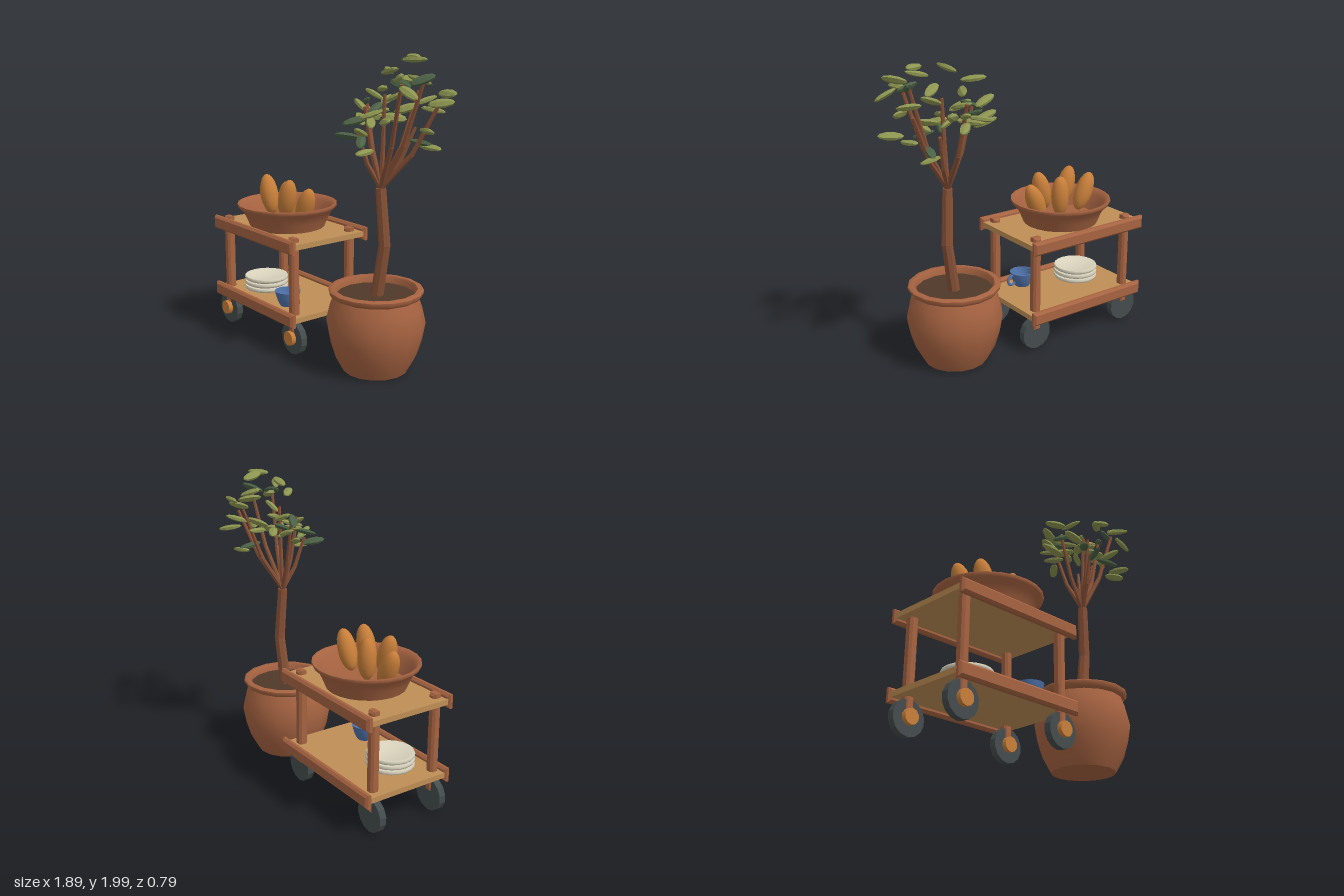
import * as THREE from 'three';
import { toCreasedNormals } from 'three/addons/utils/BufferGeometryUtils.js';

const material = (name, color, opts = {}) => {
  const m = new THREE.MeshStandardMaterial({ color, ...opts });
  m.name = name;
  return m;
};

export function createModel() {
  const terracotta = material('terracotta and frame wood', 0xa66341);
  const bark = material('bark', 0x875137, { flatShading: true });
  const board = material('shelf board', 0xbf8e55);
  const orange = material('golden orange', 0xc87f3a);
  const rubber = material('wheel grey', 0x454c4d, { flatShading: true });
  const cream = material('plate cream', 0xdad4be);
  const blue = material('cup blue', 0x5073ab);
  const soilBrown = material('soil', 0x4f3829);
  const leafLight = material('leaf olive', 0x8d9550, { flatShading: true });
  const leafDark = material('leaf dark green', 0x4c6145, { flatShading: true });

  const model = new THREE.Group();
  const add = (parent, name, geo, mat, x = 0, y = 0, z = 0) => {
    const mesh = new THREE.Mesh(geo, mat);
    mesh.name = name;
    mesh.position.set(x, y, z);
    parent.add(mesh);
    return mesh;
  };
  const group = (name, parent = model) => {
    const g = new THREE.Group();
    g.name = name;
    parent.add(g);
    return g;
  };

  // Centred box with chamfered edges
  const chamferBox = (w, h, d, c) => {
    const a = w / 2 - c, b = h / 2 - c;
    const shape = new THREE.Shape([[-a, -b], [a, -b], [a, b], [-a, b]].map(p => new THREE.Vector2(...p)));
    const geo = new THREE.ExtrudeGeometry(shape, {
      depth: d - 2 * c, bevelEnabled: true, bevelSize: c, bevelThickness: c, bevelSegments: 1,
    });
    return geo.translate(0, 0, -(d / 2 - c));
  };
  const lathe = (pts, sides) => toCreasedNormals(
    new THREE.LatheGeometry(pts.map(p => new THREE.Vector2(...p)), sides), 0.95);
  // Tapered round limb between two points
  const limb = (parent, name, a, b, r0, r1, sides) => {
    const dir = b.clone().sub(a);
    const mid = a.clone().add(b).multiplyScalar(0.5);
    const mesh = add(parent, name, new THREE.CylinderGeometry(r1, r0, dir.length(), sides), bark, mid.x, mid.y, mid.z);
    mesh.quaternion.setFromUnitVectors(new THREE.Vector3(0, 1, 0), dir.normalize());
  };

  // Cart: two shelves, side rails, posts and wheels
  const cart = group('cart');
  for (const [level, y] of [['upper', 0.751], ['lower', 0.255]]) {
    add(cart, level + 'Shelf', new THREE.BoxGeometry(0.93, 0.036, 0.57), board, -0.446, y, 0.043);
    for (const [side, z] of [['Front', 0.348], ['Back', -0.262]])
      add(cart, level + side + 'Rail', chamferBox(0.946, 0.092, 0.048, 0.015), terracotta, -0.446, y, z);
  }
  for (const x of [-0.837, -0.057]) for (const z of [0.288, -0.178]) {
    add(cart, 'post', chamferBox(0.06, 0.665, 0.062, 0.014), terracotta, x, 0.465, z);
    add(cart, 'wheel', new THREE.CylinderGeometry(0.112, 0.112, 0.046, 14).rotateX(Math.PI / 2), rubber, x, 0.112, z);
    add(cart, 'wheelHub', new THREE.CylinderGeometry(0.05, 0.05, 0.04, 10).rotateX(Math.PI / 2), orange, x, 0.115, z + 0.034);
  }

  // Bowl with five loaves standing in it
  const bowl = group('bowl');
  add(bowl, 'bowlBody', lathe([
    [0, 0.77], [0.258, 0.77], [0.282, 0.83], [0.31, 0.882], [0.338, 0.908], [0.346, 0.922], [0.345, 0.934],
    [0.325, 0.934], [0.3, 0.9], [0.27, 0.85], [0.245, 0.8], [0, 0.8]], 24), terracotta, -0.447, 0, 0.056);
  for (const [dx, y, z, tilt] of [
    [-0.213, 0.94, 0.06, 0.42], [-0.106, 0.985, 0.132, 0.28], [0, 0.942, 0.06, 0],
    [0.106, 0.985, 0.132, -0.28], [0.213, 0.94, 0.06, -0.42]]) {
    const loaf = add(bowl, 'loaf', new THREE.SphereGeometry(1, 14, 10), orange, -0.447 + dx, y, z);
    loaf.scale.set(0.063, 0.14, 0.061);
    loaf.rotation.z = tilt;
  }

  // Stack of plates and a cup on the lower shelf
  const plateGeo = lathe([
    [0, 0], [0.135, 0], [0.152, 0.009], [0.157, 0.02], [0.152, 0.032], [0.14, 0.032], [0.11, 0.02], [0, 0.02]], 20);
  for (let i = 0; i < 3; i++) add(model, 'plate', plateGeo, cream, -0.642, 0.273 + i * 0.034, 0.11);
  const cup = group('cup');
  cup.position.set(-0.236, 0.273, 0.212);
  add(cup, 'cupBody', lathe([
    [0, 0], [0.05, 0], [0.066, 0.03], [0.078, 0.065], [0.088, 0.104], [0.077, 0.104], [0.065, 0.05], [0.045, 0.02], [0, 0.02]], 16), blue);
  add(cup, 'cupHandle', new THREE.TorusGeometry(0.034, 0.01, 6, 14), blue, 0.09, 0.056, 0);

  // Plant pot with soil
  const plant = group('pottedTree');
  add(plant, 'pot', lathe([
    [0, 0], [0.21, 0], [0.264, 0.1], [0.296, 0.205], [0.316, 0.318], [0.292, 0.42], [0.268, 0.485],
    [0.288, 0.494], [0.301, 0.512], [0.302, 0.53], [0.292, 0.537], [0.264, 0.537], [0.254, 0.522], [0.25, 0.46], [0, 0.46]],
    16), terracotta, 0.452, 0, 0.02);
  add(plant, 'soil', new THREE.CylinderGeometry(0.252, 0.25, 0.02, 16), soilBrown, 0.452, 0.48, 0.02);

  // Bent trunk
  const v = (x, y, z) => new THREE.Vector3(x, y, z);
  const fork = v(0.485, 1.18, 0.02);
  const bend = v(0.508, 0.82, 0.004);
  limb(plant, 'lowerTrunk', v(0.453, 0.45, 0.018), bend, 0.041, 0.037, 8);
  limb(plant, 'upperTrunk', bend, fork, 0.037, 0.033, 8);
  add(plant, 'trunkBend', new THREE.SphereGeometry(0.037, 8, 6), bark, bend.x, bend.y, bend.z);

  // Branches, each steeper after its bend
  for (const tip of [
    [0.31, 1.70, -0.01], [0.42, 1.54, 0.16], [0.447, 1.68, 0.12], [0.51, 1.76, -0.26], [0.62, 1.555, -0.13],
    [0.77, 1.85, -0.05], [0.74, 1.83, 0.1], [0.8, 1.7, -0.14], [0.51, 1.75, 0.02]]) {
    const end = v(...tip), d = end.clone().sub(fork);
    const mid = fork.clone().add(v(d.x * 0.55, d.y * 0.42, d.z * 0.55));
    limb(plant, 'branch', fork, mid, 0.018, 0.015, 6);
    limb(plant, 'twig', mid, end, 0.015, 0.011, 6);
  }

  // Pointed leaves, turned outward from the crown with a little scatter
  let seed = 7;
  const rand = () => (seed = (seed * 16807) % 2147483647) / 2147483647 - 0.5;
  const leafGeo = new THREE.SphereGeometry(1, 6, 5).rotateZ(Math.PI / 2).scale(0.079, 0.018, 0.033);
  const leaves = group('leaves', plant);
  const light = [
    [0.574, 1.965, -0.15], [0.717, 1.965, -0.02], [0.632, 1.9, 0.095], [0.38, 1.88, -0.13], [0.51, 1.83, -0.21],
    [0.83, 1.79, 0.13], [0.59, 1.745, 0.01], [0.84, 1.77, -0.17], [0.86, 1.72, -0.1], [0.28, 1.73, -0.1],
    [0.54, 1.7, -0.29], [0.57, 1.64, -0.33], [0.23, 1.575, -0.03], [0.26, 1.63, -0.08], [0.865, 1.57, 0.015],
    [0.48, 1.635, 0.1], [0.52, 1.61, -0.05], [0.54, 1.545, 0.23], [0.71, 1.44, -0.17], [0.61, 1.44, 0.26],
    [0.43, 1.63, -0.2], [0.42, 1.62, 0.05], [0.58, 1.6, 0.08], [0.69, 1.81, 0.2], [0.76, 1.87, 0.14],
    [0.33, 1.63, -0.14], [0.43, 1.71, -0.07], [0.53, 1.66, -0.14], [0.66, 1.84, -0.12], [0.5, 1.59, 0.12],
    [0.36, 1.6, -0.04], [0.35, 1.68, 0.07]];
  const dark = [
    [0.765, 1.85, -0.04], [0.71, 1.83, 0.08], [0.31, 1.69, 0], [0.38, 1.59, 0.14],
    [0.4, 1.51, 0.22], [0.68, 1.47, -0.12], [0.53, 1.49, 0.22], [0.34, 1.65, -0.06]];
  for (const [list, mat] of [[light, leafLight], [dark, leafDark]]) for (const [x, y, z] of list) {
    const leaf = add(leaves, 'leaf', leafGeo, mat, x, y, z);
    leaf.rotation.set(0.2 + rand() * 1.5, Math.atan2(-(z - 0.02), x - 0.5) + rand() * 1.6, rand() * 0.9, 'YZX');
  }
  return model;
}
